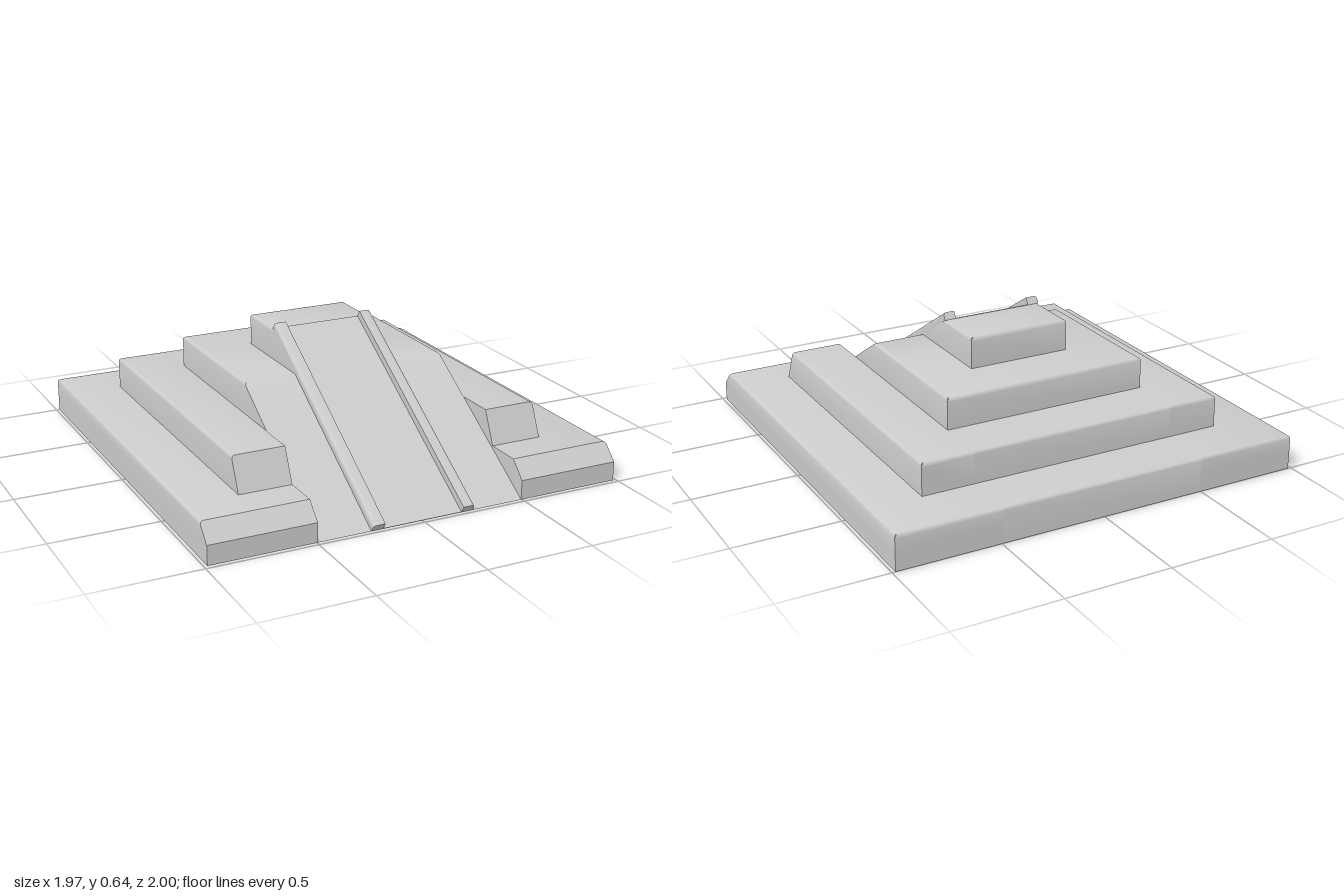
import * as THREE from 'three';
import { toCreasedNormals } from 'three/addons/utils/BufferGeometryUtils.js';

const RISE = 0.61, RUN = 0.98;               // ramp height and length
const ANGLE = Math.atan2(RISE, RUN);
const LENGTH = Math.hypot(RISE, RUN);
const CREASE = 0.54;
const R = 0.015;                             // rounding of the step edges
const ARC = [0, 1, 2, 3].map(i => i * Math.PI / 6);
const rampZ = y => RUN * (1 - y / RISE);
const material = new THREE.MeshStandardMaterial({ color: 0xcccccc });

function addMesh(group, name, geometry) {
  const mesh = new THREE.Mesh(geometry, material);
  mesh.name = name;
  group.add(mesh);
  return mesh;
}

// A block lofted along z: rounded back edge, optional rounded sides, front given by z = front(y).
function block({ x0, x1, y0, y1, back, front, roundLow = false, roundHigh = false, mids = [], stations = [] }) {
  const levels = [[y0, 0], ...mids.map(y => [y, 0]),
    ...ARC.map(a => [y1 - R + R * Math.sin(a), R * (1 - Math.cos(a))])];
  const section = [
    ...levels.map(([y, d]) => [x0 + (roundLow ? d : 0), y]),
    ...levels.map(([y, d]) => [x1 - (roundHigh ? d : 0), y]).reverse(),
  ];
  const rings = [
    ...ARC.map(a => section.map(([x, y]) =>
      [x, Math.min(y, y1 - R + R * Math.sin(a)), back + R * (1 - Math.cos(a))])),
    ...stations.map(z => section.map(([x, y]) => [x, y, z])),
    section.map(([x, y]) => [x, y, front(y)]),
  ];
  const n = section.length, index = [];
  const quad = (a, b, c, d) => index.push(a, b, c, a, c, d);
  for (let k = 0; k < rings.length - 1; k++) {
    for (let i = 0; i < n; i++) {
      const j = (i + 1) % n;
      quad(k * n + i, (k + 1) * n + i, (k + 1) * n + j, k * n + j);
    }
  }
  // end caps, in strips between left and right points of equal height
  const last = (rings.length - 1) * n;
  for (let i = 0; i < levels.length - 1; i++) {
    const r = n - 1 - i;
    quad(last + i, last + r, last + r - 1, last + i + 1);
    quad(i, i + 1, r - 1, r);
  }
  const geometry = new THREE.BufferGeometry();
  geometry.setAttribute('position', new THREE.Float32BufferAttribute(rings.flat(2), 3));
  geometry.setIndex(index);
  return toCreasedNormals(geometry, CREASE);
}

// Shade the bend between a flat top and the ramp softly.
function softenBend(geometry) {
  const p = geometry.attributes.position, nor = geometry.attributes.normal;
  for (let i = 0; i < p.count; i++) {
    const z = p.getZ(i);
    if (z < -0.01 || Math.abs(nor.getX(i)) > 0.1 || nor.getY(i) < 0.5) continue;
    const t = ANGLE * Math.min(1, Math.max(0, z / 0.47));
    nor.setXYZ(i, 0, Math.cos(t), Math.sin(t));
  }
  return geometry;
}

// Lay a geometry built along +z onto the slope.
const onRamp = geometry => geometry.rotateX(ANGLE).translate(0, RISE, 0);

export function createModel() {
  const model = new THREE.Group();
  model.name = 'steppedPyramid';

  // two lower steps: a centre cut by the ramp, with a wing on each side
  const inner = 0.495;
  const steps = [
    { name: 'baseStep', half: 0.985, y0: 0, y1: 0.165, back: -1, mids: [0.09],
      front: y => 0.98 - Math.max(0, y - 0.09) },
    { name: 'secondStep', half: 0.742, y0: 0.165, y1: 0.315, back: -0.75, mids: [],
      front: y => 0.735 - (y - 0.165) * 0.467 },
  ];
  for (const { name, half, y0, y1, back, mids, front } of steps) {
    const step = new THREE.Group();
    step.name = name;
    addMesh(step, name + 'Centre', block({ x0: -inner, x1: inner, y0, y1, back, front: rampZ }));
    addMesh(step, name + 'LeftWing',
      block({ x0: inner, x1: half, y0, y1, back, mids, front, roundHigh: true }));
    addMesh(step, name + 'RightWing',
      block({ x0: -half, x1: -inner, y0, y1, back, mids, front, roundLow: true }));
    model.add(step);
  }

  // two upper steps, whose fronts lie on the ramp slope
  addMesh(model, 'thirdStep', softenBend(block({
    x0: -inner, x1: inner, y0: 0.315, y1: 0.463, back: -0.505, front: rampZ,
    roundLow: true, roundHigh: true, stations: [0],
  })));
  addMesh(model, 'topStep', block({
    x0: -0.246, x1: 0.246, y0: 0.463, y1: RISE, back: -0.255, front: rampZ,
    roundLow: true, roundHigh: true,
  }));

  // walkway between the rails
  addMesh(model, 'ramp', onRamp(
    new THREE.BoxGeometry(0.39, 0.003, LENGTH).translate(0, 0.0015, LENGTH / 2)));

  // side rails, rounded along the outer upper edge
  for (const side of [1, -1]) {
    const s = new THREE.Shape();
    s.moveTo(side * 0.19, 0);
    s.lineTo(side * 0.246, 0);
    s.lineTo(side * 0.246, 0.02);
    s.quadraticCurveTo(side * 0.246, 0.037, side * 0.229, 0.037);
    s.lineTo(side * 0.19, 0.037);
    const rail = new THREE.ExtrudeGeometry(s, { depth: LENGTH, bevelEnabled: false, curveSegments: 5 });
    addMesh(model, side > 0 ? 'leftRail' : 'rightRail', toCreasedNormals(onRamp(rail), CREASE));
  }
  return model;
}
